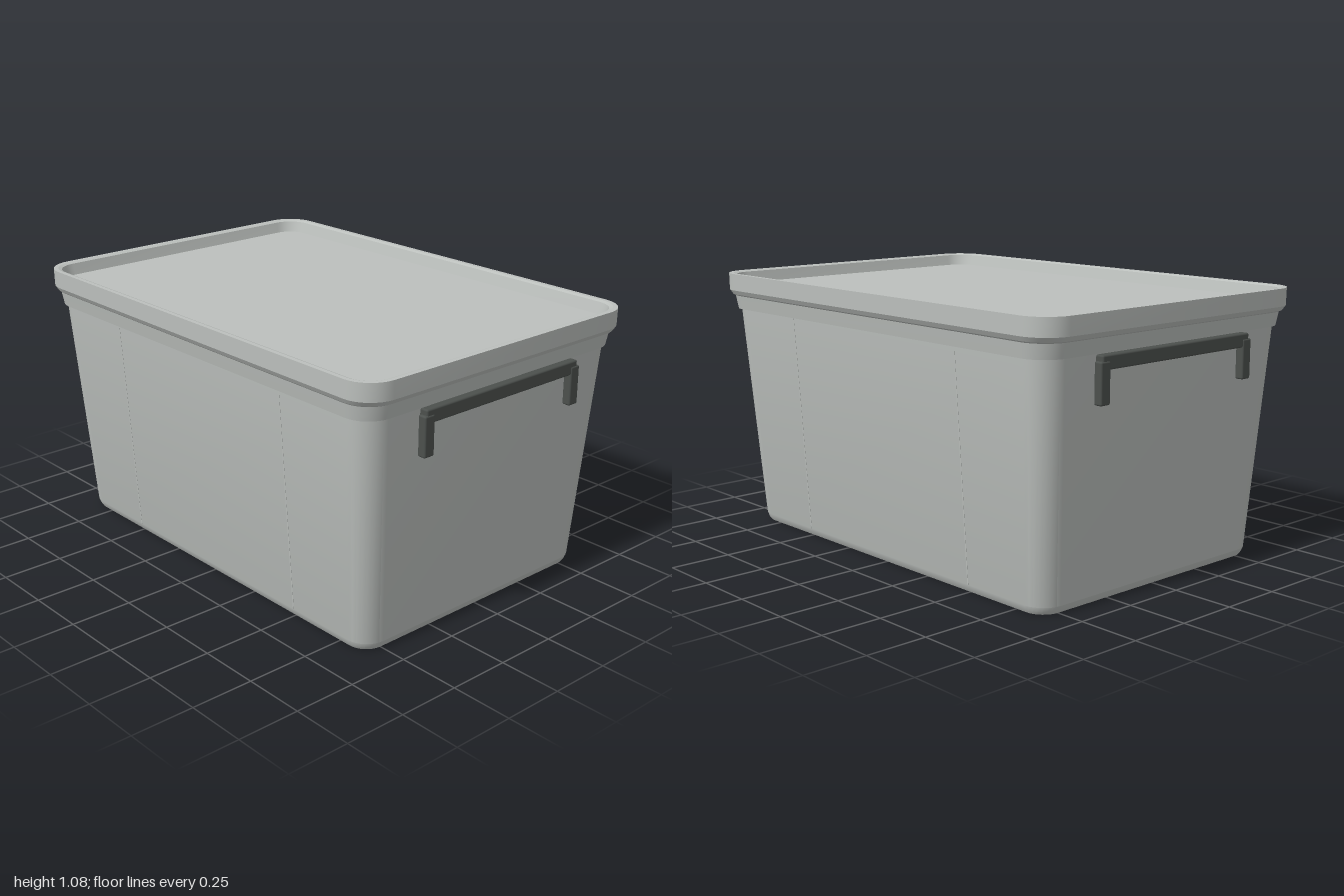
import * as THREE from 'three';
import { toCreasedNormals } from 'three/addons/utils/BufferGeometryUtils.js';
import { RoundedBoxGeometry } from 'three/addons/geometries/RoundedBoxGeometry.js';

const CORNER_STEPS = 8;

// Rounded rectangle at height y: half width, half depth, corner radius
function ring([y, hx, hz, r]) {
  const points = [];
  const centres = [[1, 1], [-1, 1], [-1, -1], [1, -1]];
  centres.forEach(([sx, sz], q) => {
    for (let i = 0; i <= CORNER_STEPS; i++) {
      const a = (q + i / CORNER_STEPS) * Math.PI / 2;
      points.push([sx * (hx - r) + r * Math.cos(a), y, sz * (hz - r) + r * Math.sin(a)]);
    }
  });
  return points;
}

// Skin over a stack of rings, closed at both ends
function loft(sections) {
  const n = 4 * (CORNER_STEPS + 1);
  const positions = [], index = [];
  sections.forEach(s => ring(s).forEach(p => positions.push(...p)));
  const bottom = sections.length * n, top = bottom + 1, last = (sections.length - 1) * n;
  positions.push(0, sections[0][0], 0, 0, sections[sections.length - 1][0], 0);
  for (let i = 0; i < n; i++) {
    const j = (i + 1) % n;
    for (let k = 0; k < sections.length - 1; k++) {
      const a = k * n + i, b = k * n + j;
      index.push(a, a + n, b, b, a + n, b + n);
    }
    index.push(bottom, i, j, top, last + j, last + i);
  }
  const geometry = new THREE.BufferGeometry();
  geometry.setAttribute('position', new THREE.Float32BufferAttribute(positions, 3));
  geometry.setIndex(index);
  return toCreasedNormals(geometry, 0.3);
}

export function createModel() {
  const model = new THREE.Group();
  model.name = 'storageBox';
  const plastic = new THREE.MeshStandardMaterial({ color: 0xbcc0bd });
  plastic.name = 'light grey plastic';
  const dark = new THREE.MeshStandardMaterial({ color: 0x4c504d });
  dark.name = 'dark grey plastic';

  const add = (parent, name, geometry, material, x = 0, y = 0, z = 0) => {
    const mesh = new THREE.Mesh(geometry, material);
    mesh.name = name;
    mesh.position.set(x, y, z);
    parent.add(mesh);
    return mesh;
  };

  // Tapered tub with a stepped rim
  add(model, 'tub', loft([
    [0, 0.88, 0.578, 0.08],
    [0.012, 0.888, 0.585, 0.085],
    [0.03, 0.895, 0.591, 0.09],
    [0.93, 0.955, 0.652, 0.1],
    [0.93, 0.965, 0.664, 0.105],
    [0.99, 0.975, 0.674, 0.11],
  ]), plastic);

  // Lid with a raised lip around a sunken panel
  add(model, 'lid', loft([
    [0.987, 0.978, 0.674, 0.11],
    [0.992, 0.988, 0.68, 0.115],
    [1.01, 0.999, 0.69, 0.12],
    [1.08, 1, 0.691, 0.12],
    [1.08, 0.982, 0.673, 0.105],
    [1.075, 0.968, 0.66, 0.095],
    [1.03, 0.954, 0.646, 0.085],
  ]), plastic);

  // Fine vertical seams on the front and back walls
  for (const side of [1, -1]) {
    for (const x of [-0.5, 0.5]) {
      const seam = add(model, 'wallSeam', new THREE.BoxGeometry(0.005, 0.9, 0.004),
        plastic, x, 0.48, side * 0.6205);
      seam.rotation.x = side * Math.atan2(0.061, 0.9);
    }
  }

  // Clip handle on each end: a bar with two hanging legs
  for (const side of [1, -1]) {
    const handle = new THREE.Group();
    handle.name = side > 0 ? 'leftHandle' : 'rightHandle';
    add(handle, 'handleBar', new RoundedBoxGeometry(0.05, 0.054, 0.8, 2, 0.007),
      dark, side * 0.963, 0.899, 0);
    for (const z of [-0.387, 0.387]) {
      add(handle, 'handleLeg', new RoundedBoxGeometry(0.036, 0.155, 0.048, 2, 0.007),
        dark, side * 0.973, 0.827, z);
    }
    model.add(handle);
  }
  return model;
}
